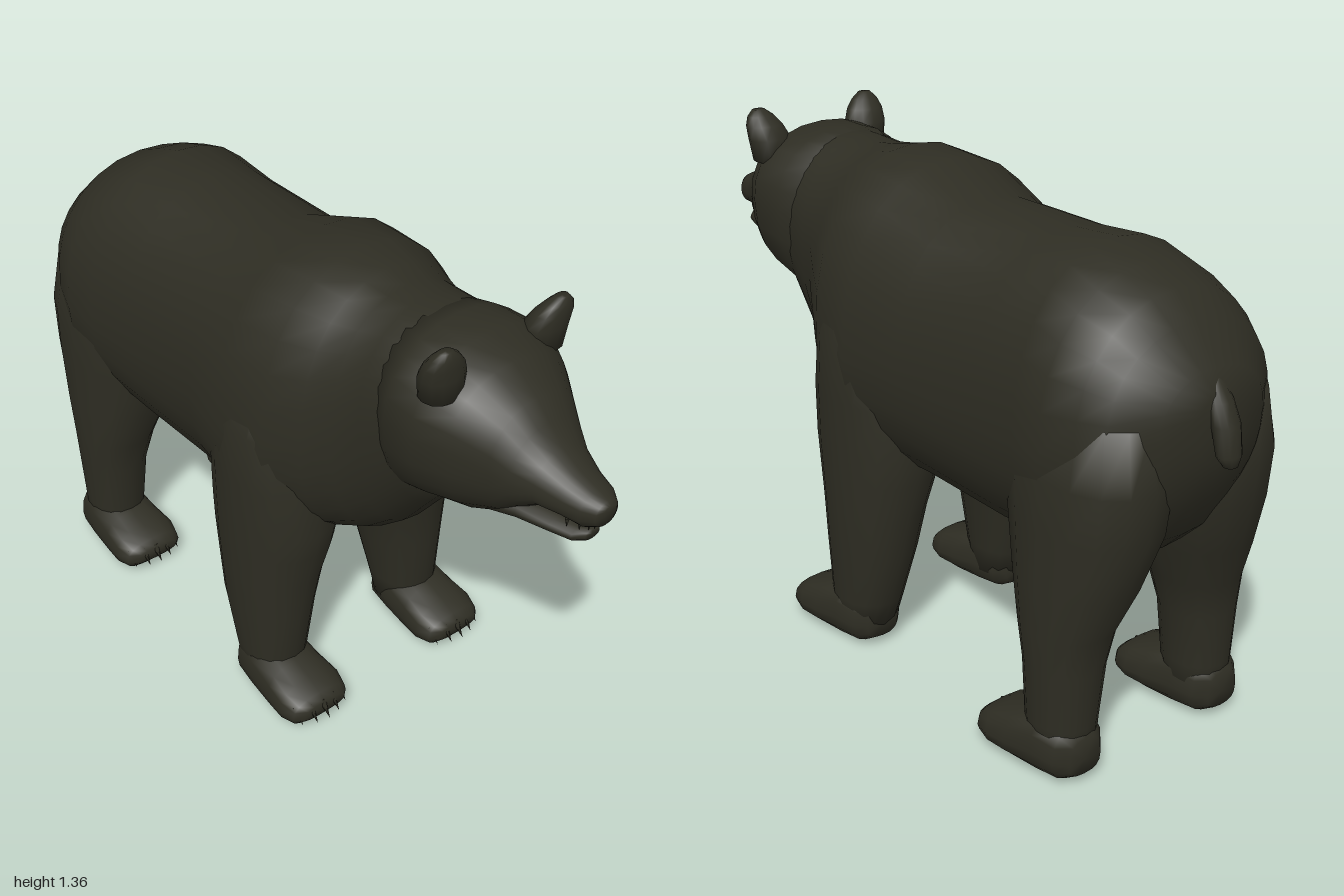
import * as THREE from 'three';

const fur = new THREE.MeshStandardMaterial({ color: 0x2e2d23 });
fur.name = 'darkFur';

// Skin rings of an egg-shaped section. Row: [s, lo, hi, halfWidth, centreX, mid].
// Horizontal lofts run along z (lo/hi in y); upright ones run along y (lo/hi in z).
function loft(name, rows, { upright = false, sides = 20, p = 0.9 } = {}) {
  const pos = [], idx = [];
  const put = (u, v, s) => upright ? pos.push(u, s, v) : pos.push(u, v, s);
  const tri = (a, b, c) => upright ? idx.push(a, c, b) : idx.push(a, b, c);
  const pw = (c) => Math.sign(c) * Math.abs(c) ** p;
  for (const [s, lo, hi, w, cx = 0, mid = (lo + hi) / 2] of rows) {
    for (let j = 0; j < sides; j++) {
      const a = j / sides * Math.PI * 2, v = pw(Math.sin(a));
      put(cx + w * pw(Math.cos(a)), mid + v * (v > 0 ? hi - mid : mid - lo), s);
    }
  }
  const last = rows.length - 1;
  for (let i = 0; i < last; i++) {
    for (let j = 0; j < sides; j++) {
      const a = i * sides + j, b = i * sides + (j + 1) % sides;
      tri(a, b, a + sides);
      tri(b, b + sides, a + sides);
    }
  }
  // end caps
  for (const i of [0, last]) {
    const [s, lo, hi, , cx = 0, mid = (lo + hi) / 2] = rows[i];
    const c = pos.length / 3;
    put(cx, mid, s);
    for (let j = 0; j < sides; j++) {
      const a = i * sides + j, b = i * sides + (j + 1) % sides;
      i ? tri(c, a, b) : tri(c, b, a);
    }
  }
  const g = new THREE.BufferGeometry();
  g.setAttribute('position', new THREE.Float32BufferAttribute(pos, 3));
  g.setIndex(idx);
  g.computeVertexNormals();
  const m = new THREE.Mesh(g, fur);
  m.name = name;
  return m;
}

function spike(name, r, h, x, y, z, tilt) {
  const m = new THREE.Mesh(new THREE.ConeGeometry(r, h, 6), fur);
  m.name = name;
  m.position.set(x, y, z);
  m.rotation.x = tilt;
  return m;
}

// Leg, paw and five claws; heel is the z of the back of the paw
function leg(name, side, rows, heel, cx) {
  const g = new THREE.Group();
  g.name = name;
  g.add(loft('limb', rows.map(([y, b, f, w, x]) => [y, b, f, w, x * side]), { upright: true, sides: 16 }));
  const paw = [
    [0, 0.03, 0.13, 0.05], [0.03, 0.012, 0.16, 0.078], [0.1, 0.006, 0.17, 0.09],
    [0.19, 0.004, 0.14, 0.098], [0.25, 0.01, 0.12, 0.104], [0.295, 0.02, 0.098, 0.092], [0.315, 0.04, 0.08, 0.07],
  ].map(([z, lo, hi, w]) => [heel + z, lo, hi, w, cx * side, lo + (hi - lo) * 0.4]);
  g.add(loft('paw', paw, { sides: 16, p: 0.75 }));
  for (let i = -2; i <= 2; i++) {
    g.add(spike('claw', 0.011, 0.055, cx * side + i * 0.037, 0.058, heel + 0.322 - 0.006 * i * i, 2.45));
  }
  return g;
}

export function createModel() {
  const bear = new THREE.Group();
  bear.name = 'bear';

  // Trunk from rump to neck
  bear.add(loft('body', [
    [-0.945, 0.84, 1.01, 0.07, 0, 0.93], [-0.92, 0.74, 1.06, 0.165, 0, 0.92],
    [-0.85, 0.62, 1.15, 0.26, 0, 0.9], [-0.79, 0.56, 1.205, 0.295, 0, 0.88],
    [-0.7, 0.53, 1.245, 0.325, 0, 0.86], [-0.6, 0.515, 1.28, 0.315, 0, 0.85],
    [-0.45, 0.5, 1.267, 0.308, 0, 0.85], [-0.15, 0.505, 1.265, 0.31, 0, 0.86],
    [0.02, 0.515, 1.33, 0.347, 0, 0.87], [0.17, 0.53, 1.34, 0.325, 0, 0.88],
    [0.26, 0.57, 1.32, 0.275, 0, 0.92], [0.33, 0.6, 1.31, 0.235, 0, 0.98],
    [0.4, 0.66, 1.315, 0.21, 0, 1.04], [0.5, 0.79, 1.315, 0.2, 0, 1.1],
    [0.57, 0.88, 1.3, 0.17, 0, 1.12],
  ], { sides: 28 }));

  // Head and upper muzzle
  bear.add(loft('head', [
    [0.41, 0.8, 1.31, 0.18, 0, 1.1], [0.5, 0.84, 1.32, 0.22, 0, 1.12],
    [0.6, 0.88, 1.318, 0.23, 0, 1.13], [0.68, 0.89, 1.28, 0.19, 0, 1.12],
    [0.76, 0.925, 1.225, 0.14, 0, 1.09], [0.8, 0.965, 1.185, 0.118, 0, 1.07],
    [0.85, 1.0, 1.14, 0.09, 0, 1.06], [0.91, 1.005, 1.11, 0.07, 0, 1.05],
    [0.96, 1.0, 1.095, 0.057, 0, 1.05], [0.99, 1.015, 1.082, 0.036, 0, 1.05],
    [1.0, 1.04, 1.075, 0.02, 0, 1.058],
  ], { sides: 24 }));
  bear.add(loft('lowerJaw', [
    [0.7, 0.91, 1.0, 0.11], [0.8, 0.937, 1.0, 0.085], [0.88, 0.943, 0.988, 0.062],
    [0.935, 0.945, 0.985, 0.045], [0.958, 0.955, 0.982, 0.024],
  ], { sides: 16 }));
  for (let i = -3; i <= 3; i++) {
    bear.add(spike('tooth', 0.006, 0.026, i * 0.014, 0.997, 0.963 - 0.005 * i * i, Math.PI));
  }

  for (const [label, side] of [['left', 1], ['right', -1]]) {
    // Upright rounded ears leaning outwards
    bear.add(loft(label + 'Ear', [
      [1.23, 0.57, 0.66, 0.055, 0.155 * side], [1.29, 0.575, 0.665, 0.06, 0.16 * side],
      [1.325, 0.595, 0.668, 0.053, 0.168 * side], [1.35, 0.615, 0.665, 0.038, 0.174 * side],
      [1.367, 0.632, 0.658, 0.018, 0.177 * side],
    ], { upright: true, sides: 12 }));

    // Legs: [y, back z, front z, half width, x]
    bear.add(leg(label + 'FrontLeg', side, [
      [0.06, 0.01, 0.17, 0.08, 0.24], [0.14, -0.02, 0.19, 0.088, 0.238],
      [0.3, -0.065, 0.205, 0.108, 0.23], [0.42, -0.085, 0.22, 0.122, 0.22],
      [0.52, -0.105, 0.24, 0.138, 0.207], [0.6, -0.115, 0.255, 0.142, 0.203],
      [0.74, -0.11, 0.25, 0.138, 0.21], [0.9, -0.08, 0.22, 0.12, 0.225],
      [1.06, -0.03, 0.17, 0.08, 0.215],
    ], 0.01, 0.245));
    bear.add(leg(label + 'HindLeg', side, [
      [0.06, -0.79, -0.63, 0.078, 0.23], [0.15, -0.797, -0.615, 0.082, 0.23],
      [0.3, -0.805, -0.605, 0.095, 0.225], [0.4, -0.82, -0.58, 0.11, 0.215],
      [0.52, -0.865, -0.54, 0.135, 0.19], [0.67, -0.91, -0.5, 0.155, 0.168],
      [0.8, -0.925, -0.48, 0.155, 0.165], [0.95, -0.9, -0.5, 0.12, 0.17],
    ], -0.8, 0.235));
  }

  // Short hanging tail
  bear.add(loft('tail', [
    [0.845, -0.997, -0.965, 0.018], [0.87, -1.0, -0.95, 0.033], [0.94, -0.99, -0.93, 0.036],
    [0.99, -0.965, -0.91, 0.034], [1.04, -0.93, -0.88, 0.025],
  ], { upright: true, sides: 12 }));

  return bear;
}
